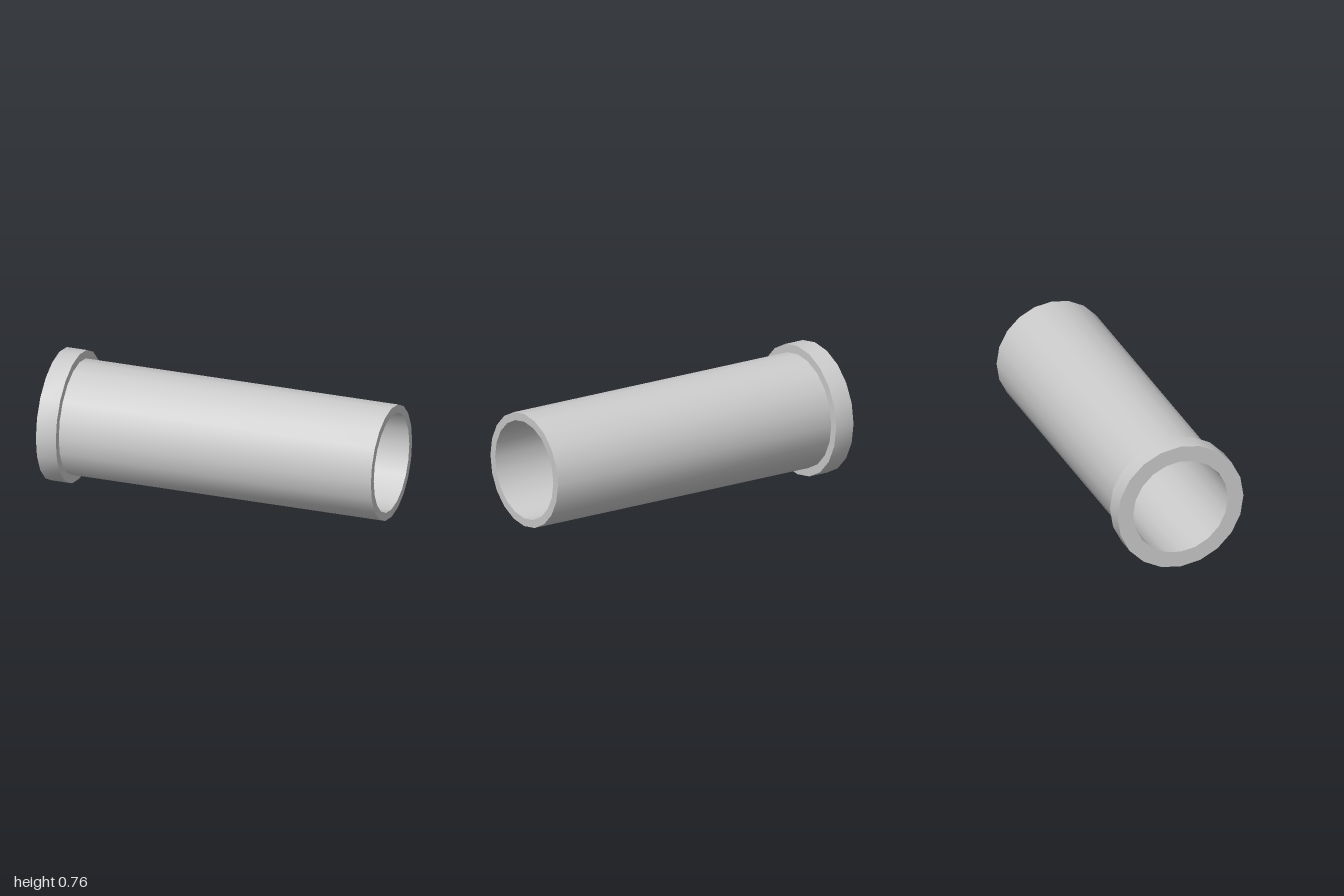
import * as THREE from 'three';
import { toCreasedNormals } from 'three/addons/utils/BufferGeometryUtils.js';

const SIDES = 20;
const BORE = 0.287, PIPE = 0.333, FLANGE = 0.381;
const START = -1, FLANGE_END = -0.88, END = 1;

export function createModel() {
  const group = new THREE.Group();
  group.name = 'flangedPipe';

  // Closed wall section (radius, position along the axis), swept round the axis
  const section = [
    [BORE, START], [FLANGE, START], [FLANGE, FLANGE_END],
    [PIPE, FLANGE_END], [PIPE, END], [BORE, END], [BORE, START],
  ].map(([r, a]) => new THREE.Vector2(r, a));

  // Smooth round the barrel, sharp at the rims
  const geometry = toCreasedNormals(new THREE.LatheGeometry(section, SIDES), Math.PI / 6);
  geometry.rotateZ(-Math.PI / 2);

  const pipe = new THREE.Mesh(geometry, new THREE.MeshStandardMaterial({ color: 0xcccccc }));
  pipe.name = 'pipeWithEndFlange';
  pipe.position.y = FLANGE;
  group.add(pipe);
  return group;
}
